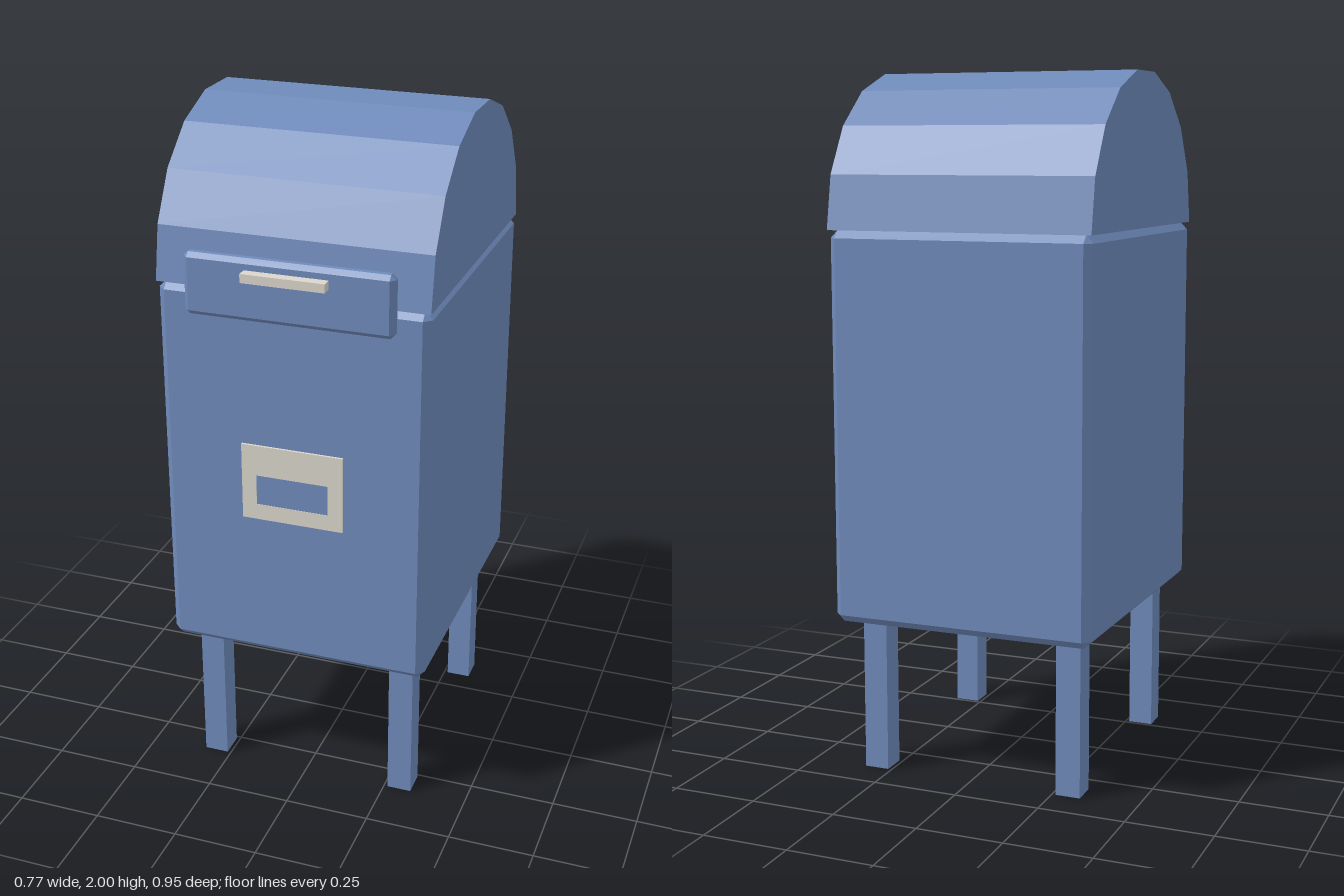
import * as THREE from 'three';
import { ConvexGeometry } from 'three/addons/geometries/ConvexGeometry.js';

const blue = new THREE.MeshStandardMaterial({ color: 0x6f8aba });
blue.name = 'postal blue';
const beige = new THREE.MeshStandardMaterial({ color: 0xdad6cc });
beige.name = 'pale beige';

// Box with every edge cut by a flat chamfer c
function chamferBox(w, h, d, c) {
  const points = [];
  for (const x of [-w / 2, w / 2]) for (const y of [-h / 2, h / 2]) for (const z of [-d / 2, d / 2]) {
    const ix = x - Math.sign(x) * c, iy = y - Math.sign(y) * c, iz = z - Math.sign(z) * c;
    points.push(new THREE.Vector3(x, iy, iz), new THREE.Vector3(ix, y, iz), new THREE.Vector3(ix, iy, z));
  }
  return new ConvexGeometry(points);
}

export function createModel() {
  const model = new THREE.Group();
  model.name = 'mailbox';
  const midZ = -0.03;

  const add = (name, geometry, material, x, y, z) => {
    const mesh = new THREE.Mesh(geometry, material);
    mesh.name = name;
    mesh.position.set(x, y, z);
    model.add(mesh);
    return mesh;
  };

  // Main body
  add('body', chamferBox(0.772, 1.113, 0.89, 0.022), blue, 0, 1.0085, midZ);

  // Faceted half-round lid, extruded across the width
  const arch = new THREE.Shape();
  for (let i = 0; i <= 9; i++) {
    const a = (i / 9) * Math.PI;
    const u = 0.445 * Math.cos(a), v = 0.442 * Math.sin(a);
    if (i) arch.lineTo(u, v); else arch.moveTo(u, v);
  }
  arch.closePath();
  const lidGeometry = new THREE.ExtrudeGeometry(arch, { depth: 0.772, bevelEnabled: false });
  lidGeometry.translate(0, 0, -0.386).rotateY(Math.PI / 2);
  add('lid', lidGeometry, blue, 0, 1.565, midZ);

  // Mail flap and its handle
  add('mailFlap', chamferBox(0.59, 0.175, 0.042, 0.013), blue, 0, 1.578, 0.421);
  add('flapHandle', new THREE.BoxGeometry(0.236, 0.025, 0.034), beige, 0, 1.623, 0.455);

  // Label frame with a window opening, and the card inside it
  const frame = new THREE.Shape();
  frame.moveTo(-0.148, 0.893).lineTo(0.148, 0.893).lineTo(0.148, 1.12).lineTo(-0.148, 1.12).closePath();
  const opening = new THREE.Path();
  opening.moveTo(-0.105, 0.94).lineTo(-0.105, 1.029).lineTo(0.105, 1.029).lineTo(0.105, 0.94).closePath();
  frame.holes.push(opening);
  add('labelFrame', new THREE.ExtrudeGeometry(frame, { depth: 0.009, bevelEnabled: false }), beige, 0, 0, 0.413);
  add('labelCard', new THREE.BoxGeometry(0.21, 0.089, 0.008), blue, 0, 0.9845, 0.417);

  // Four square legs
  for (const [side, x] of [['Left', 0.297], ['Right', -0.297]]) {
    for (const [end, z] of [['front', 0.297], ['back', -0.356]]) {
      add(`${end}${side}Leg`, new THREE.BoxGeometry(0.072, 0.47, 0.074), blue, x, 0.235, z);
    }
  }
  return model;
}
